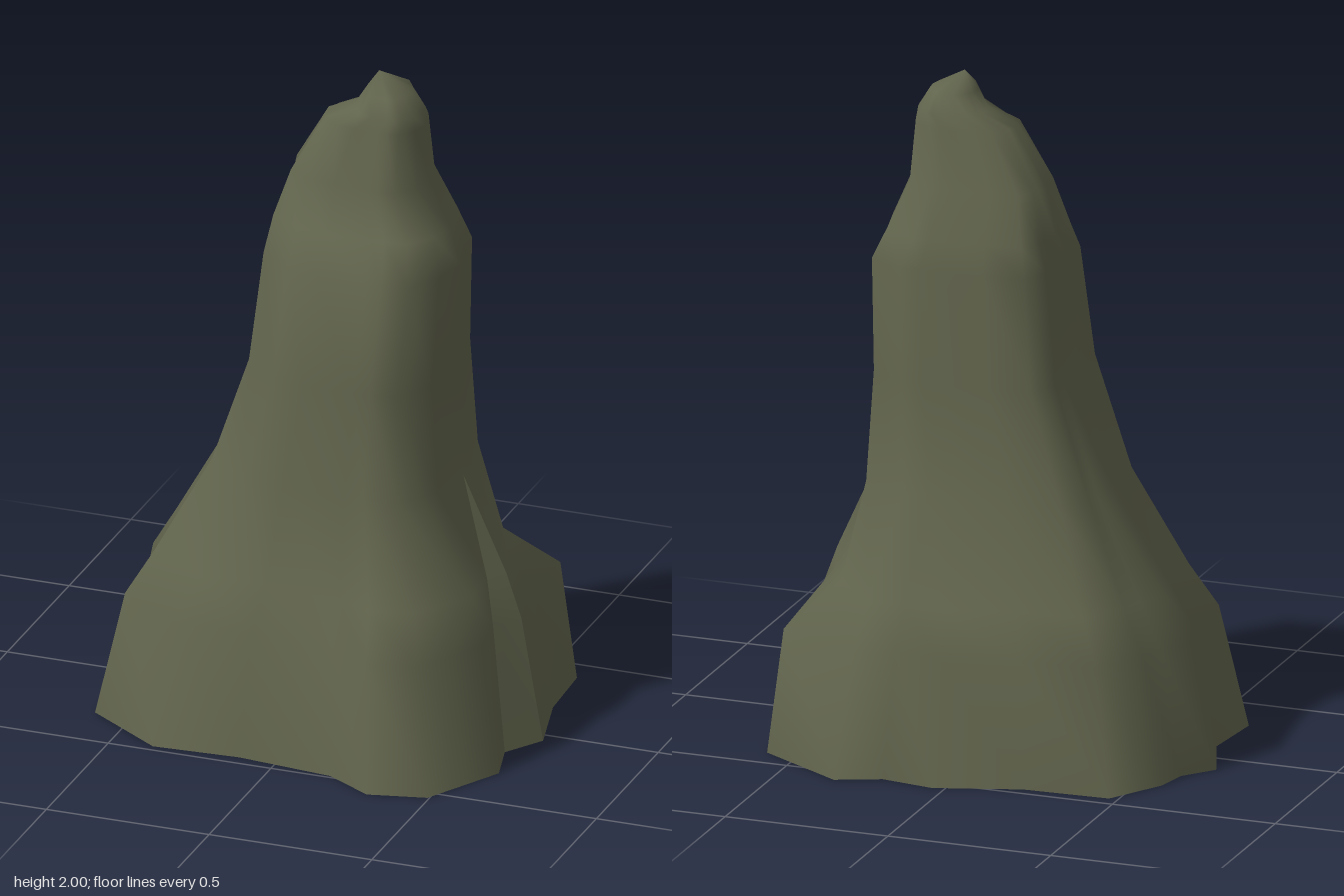
import * as THREE from 'three';
import { mergeVertices } from 'three/addons/utils/BufferGeometryUtils.js';

// Ground outline of the spire (x, z), running left-back-right-front
const OUTLINE = [
  [-0.665, -0.1], [-0.59, -0.19], [-0.57, -0.29], [-0.47, -0.455], [-0.21, -0.465],
  [0.04, -0.545], [0.2, -0.52], [0.33, -0.575], [0.597, -0.41], [0.607, -0.19],
  [0.664, 0.04], [0.59, 0.155], [0.627, 0.3], [0.497, 0.535], [0.325, 0.575],
  [0.18, 0.49], [-0.11, 0.46], [-0.37, 0.475], [-0.61, 0.31], [-0.59, 0.1],
];

// Cross-sections: height, min x, max x, min z, max z, roundness
const RINGS = [
  [0, -0.665, 0.66, -0.575, 0.575, 0],
  [0.37, -0.585, 0.59, -0.51, 0.5, 0.05],
  [0.5, -0.508, 0.54, -0.447, 0.425, 0.15],
  [0.79, -0.34, 0.41, -0.31, 0.315, 0.2],
  [1.12, -0.22, 0.387, -0.28, 0.308, 0.2],
  [1.45, -0.185, 0.4, -0.245, 0.26, 0.2],
  [1.54, -0.165, 0.355, -0.225, 0.16, 0.3],
  [1.68, -0.13, 0.295, -0.175, 0.125, 0.4],
  [1.85, -0.03, 0.28, -0.14, 0.09, 0.5],
  [1.89, 0.06, 0.27, -0.13, 0.083, 0.6],
  [1.945, 0.095, 0.235, -0.108, 0.062, 0.7],
];
const APEX = [0.135, 2, -0.02];
const CREVICE = 10; // outline edge holding the crevice
const CREVICE_RINGS = 3; // the crevice closes at this ring

// Bulges and hollows of the flanks: outline point, first ring, last ring, factor
const BULGES = [
  [8, 1, 1, 1.05], [8, 2, 2, 0.87], [9, 2, 2, 0.96], // shelf on the back corner
  [2, 3, 7, 1.04], [3, 3, 7, 1.1], [4, 3, 7, 1.04], // opposite back corner
  [14, 3, 6, 0.95], [15, 3, 6, 1.09], [16, 3, 6, 1.15], // rounded front
  [17, 6, 6, 1.06], [18, 6, 6, 1.06], // softer front shelf on the far side
  [8, 9, 10, 0.87], [18, 9, 10, 0.87], // narrow tip
];

function ringPoints([y, x0, x1, z0, z1, round], level) {
  const pts = OUTLINE.map(([x, z], i) => {
    const u = x / 0.6625, v = z / 0.575;
    const bulge = BULGES.find(([p, from, to]) => p === i && level >= from && level <= to);
    const k = THREE.MathUtils.lerp(1, 1 / Math.hypot(u, v), round) * (bulge ? bulge[3] : 1);
    return [(x0 + x1) / 2 + u * k * (x1 - x0) / 2, y, (z0 + z1) / 2 + v * k * (z1 - z0) / 2];
  });
  // the two lips of the crevice meet as it rises
  const t = Math.min(1, (y / 0.79) ** 2.5);
  pts[CREVICE + 1] = pts[CREVICE + 1].map((c, k) => THREE.MathUtils.lerp(c, pts[CREVICE][k], t));
  return pts;
}

function surface(points, index) {
  const g = new THREE.BufferGeometry();
  g.setAttribute('position', new THREE.Float32BufferAttribute(points.flat(), 3));
  g.setIndex(index);
  const merged = mergeVertices(g, 1e-5);
  merged.computeVertexNormals();
  return merged;
}

export function createModel() {
  const group = new THREE.Group();
  group.name = 'rockSpire';
  const stone = new THREE.MeshStandardMaterial({ color: 0x62654d, side: THREE.DoubleSide });
  stone.name = 'mossy stone';

  const n = OUTLINE.length;
  const points = RINGS.flatMap(ringPoints);
  const top = points.push(APEX) - 1;
  const body = [], crevice = [];

  for (let j = 0; j < RINGS.length; j++) {
    for (let i = 0; i < n; i++) {
      if (i === CREVICE && j >= CREVICE_RINGS) continue;
      const a = j * n + i, b = j * n + (i + 1) % n;
      if (j === RINGS.length - 1) body.push(a, top, b);
      else (i === CREVICE ? crevice : body).push(a, a + n, b + n, a, b + n, b);
    }
  }

  // The crevice is its own surface so its lips stay sharp
  for (const [name, index] of [['spireBody', body], ['creviceFace', crevice]]) {
    const mesh = new THREE.Mesh(surface(points, index), stone);
    mesh.name = name;
    group.add(mesh);
  }
  return group;
}
